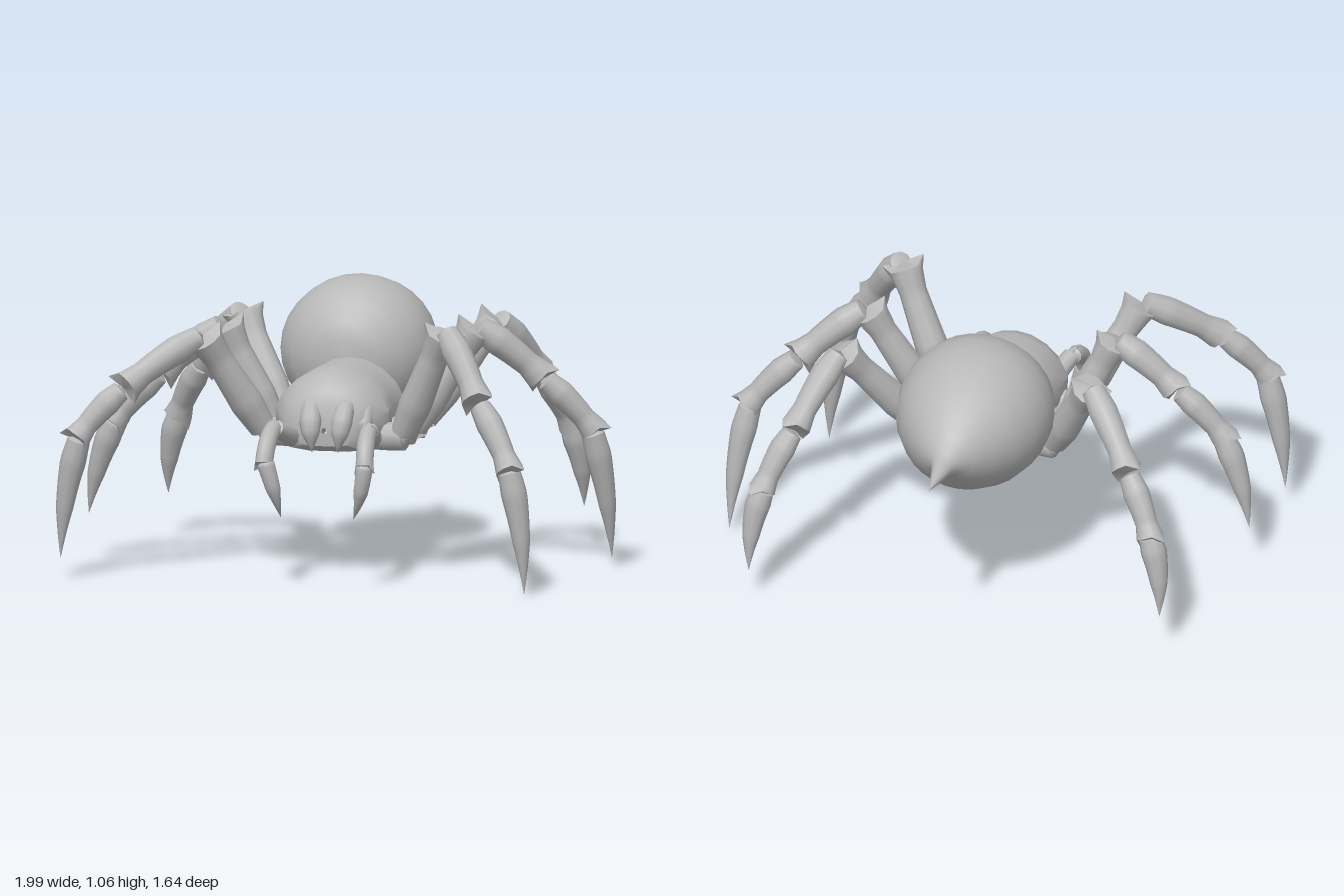
import * as THREE from 'three';
import { toCreasedNormals } from 'three/addons/utils/BufferGeometryUtils.js';

const V = (p) => new THREE.Vector3(...p);

// Tube with a varying radius; profile is a list of [t, radius], jag adds thorny points near the far end
function limb(a, b, profile, bend = [0, 0, 0], jag = false, sides = 10, steps = 20) {
  const mid = V(a).lerp(V(b), 0.5).add(V(bend));
  const curve = new THREE.QuadraticBezierCurve3(V(a), mid, V(b));
  const geo = new THREE.TubeGeometry(curve, steps, 1, sides, false);
  const pos = geo.attributes.position;
  const v = new THREE.Vector3();
  const radiusAt = (t) => {
    let k = 1;
    while (k < profile.length - 1 && profile[k][0] < t) k++;
    const [t0, r0] = profile[k - 1], [t1, r1] = profile[k];
    return r0 + (r1 - r0) * THREE.MathUtils.clamp((t - t0) / (t1 - t0), 0, 1);
  };
  for (let i = 0; i <= steps; i++) {
    const t = i / steps;
    const center = curve.getPointAt(t), dir = curve.getTangentAt(t);
    const r = radiusAt(t);
    for (let j = 0; j <= sides; j++) {
      const n = i * (sides + 1) + j;
      const thorn = jag && i === steps - 1 && j % 5 === 2;
      v.fromBufferAttribute(pos, n).sub(center).multiplyScalar(r * (thorn ? 1.25 : 1)).add(center);
      if (thorn) v.addScaledVector(dir, 0.03);
      pos.setXYZ(n, v.x, v.y, v.z);
    }
  }
  return toCreasedNormals(geo, 0.9);
}

// Closed body lofted through sections [z, half width, bottom, top]
function loftBody(sections) {
  const half = [[0.4, 0], [0.8, 0.04], [0.98, 0.25], [1, 0.5], [0.86, 0.7], [0.62, 0.86], [0.3, 0.97]];
  const ring = [[0, 0], ...half, [0, 1], ...half.map(([x, y]) => [-x, y]).reverse()];
  const n = ring.length, verts = [], index = [];
  sections.forEach(([z, w, b, t]) => ring.forEach(([x, y]) => verts.push(x * w, b + y * (t - b), z)));
  for (let i = 0; i < sections.length - 1; i++) {
    for (let j = 0; j < n; j++) {
      const a = i * n + j, b = i * n + (j + 1) % n;
      index.push(a, b, b + n, a, b + n, a + n);
    }
  }
  const geo = new THREE.BufferGeometry();
  geo.setAttribute('position', new THREE.Float32BufferAttribute(verts, 3));
  geo.setIndex(index);
  return toCreasedNormals(geo, 0.7);
}

export function createModel() {
  const model = new THREE.Group();
  const grey = new THREE.MeshStandardMaterial({ color: 0xb8b8b8 });
  grey.name = 'grey shell';
  const add = (geo, name, parent = model) => {
    const mesh = new THREE.Mesh(geo, grey);
    mesh.name = name;
    parent.add(mesh);
    return mesh;
  };

  // Abdomen with its tail spike, turned around the long axis
  const outline = [[0, 0.82], [0.013, 0.76], [0.027, 0.7], [0.038, 0.65], [0.052, 0.61], [0.1, 0.565], [0.163, 0.5],
    [0.227, 0.415], [0.274, 0.32], [0.296, 0.22], [0.294, 0.13], [0.27, 0.045], [0.215, -0.025], [0.14, -0.07], [0.07, -0.085], [0, -0.09]];
  const abdomenGeo = new THREE.LatheGeometry(outline.map(([r, d]) => new THREE.Vector2(r, -d)), 28);
  abdomenGeo.rotateX(Math.PI / 2).scale(1, 0.945, 1);
  add(abdomenGeo, 'abdomen').position.set(-0.035, 0.78, 0);

  // Head and thorax
  add(loftBody([
    [-0.04, 0.01, 0.5, 0.52], [-0.03, 0.09, 0.49, 0.58], [0.06, 0.19, 0.48, 0.74], [0.09, 0.21, 0.48, 0.785],
    [0.26, 0.205, 0.48, 0.79], [0.4, 0.22, 0.48, 0.785], [0.46, 0.19, 0.48, 0.765], [0.515, 0.155, 0.49, 0.72],
    [0.54, 0.11, 0.51, 0.66], [0.545, 0.01, 0.56, 0.58],
  ]), 'thorax').position.x = -0.01;

  // Fangs, brow bumps and feelers, mirrored
  for (const s of [-1, 1]) {
    const side = s > 0 ? 'left' : 'right';
    const x = (p) => [p[0] * s, p[1], p[2]];
    add(limb(x([0.07, 0.68, 0.47]), x([0.05, 0.49, 0.57]),
      [[0, 0], [0.15, 0.035], [0.5, 0.042], [0.7, 0.034], [1, 0]], [0, 0.03, 0.07]), side + 'Fang');
    add(limb(x([0.13, 0.67, 0.43]), x([0.13, 0.54, 0.52]),
      [[0, 0], [0.2, 0.035], [0.7, 0.035], [1, 0]], [0, 0, 0.02]), side + 'Brow');
    const feeler = new THREE.Group();
    feeler.name = side + 'Feeler';
    model.add(feeler);
    add(limb(x([0.14, 0.53, 0.45]), x([0.185, 0.595, 0.65]),
      [[0, 0], [0.1, 0.04], [0.9, 0.034], [1, 0]], [0.03, -0.02, 0], true), 'feelerBase', feeler);
    add(limb(x([0.183, 0.59, 0.61]), x([0.195, 0.46, 0.76]),
      [[0, 0], [0.1, 0.032], [0.6, 0.034], [0.95, 0.034], [1, 0]], [0, 0.06, 0.04], true), 'feelerMiddle', feeler);
    add(limb(x([0.195, 0.49, 0.755]), x([0.14, 0.26, 0.71]),
      [[0, 0], [0.08, 0.034], [0.5, 0.028], [1, 0]], [0.02, -0.02, 0.04]), 'feelerClaw', feeler);
  }

  // Six legs: base, knee, shin end, ankle, tip
  const legs = {
    leftFrontLeg: [[0.26, 0.53, 0.41], [0.45, 0.965, 0.51], [0.61, 0.71, 0.65], [0.76, 0.46, 0.755], [0.81, 0.0, 0.75]],
    leftMiddleLeg: [[0.26, 0.53, 0.25], [0.5, 0.935, 0.19], [0.74, 0.73, 0.1], [0.93, 0.52, 0.04], [0.97, 0.03, -0.055]],
    leftBackLeg: [[0.26, 0.54, 0.07], [0.51, 0.92, -0.13], [0.63, 0.68, -0.35], [0.725, 0.46, -0.475], [0.755, 0.15, -0.535]],
    rightFrontLeg: [[-0.27, 0.53, 0.38], [-0.48, 0.92, 0.54], [-0.75, 0.73, 0.7], [-0.92, 0.54, 0.77], [-0.985, 0.08, 0.74]],
    rightMiddleLeg: [[-0.27, 0.53, 0.22], [-0.46, 0.92, 0.25], [-0.7, 0.73, 0.26], [-0.89, 0.53, 0.28], [-0.985, 0.18, 0.25]],
    rightBackLeg: [[-0.27, 0.54, 0.05], [-0.47, 0.92, -0.12], [-0.67, 0.68, -0.31], [-0.79, 0.46, -0.41], [-0.835, 0.16, -0.455]],
  };
  const parts = ['thigh', 'shin', 'ankle'];
  const thick = [0.063, 0.057, 0.051];
  for (const [name, p] of Object.entries(legs)) {
    const leg = new THREE.Group();
    leg.name = name;
    model.add(leg);
    const s = Math.sign(p[0][0]);
    // Hip joint at the body
    add(limb([s * 0.1, 0.54, p[0][2] * 0.8 + 0.05], [p[0][0] + s * 0.04, 0.54, p[0][2]],
      [[0, 0], [0.1, 0.055], [0.85, 0.054], [1, 0]], [0, -0.01, 0], true), 'hip', leg);
    // Segments narrow at the root and flare into a thorny collar
    parts.forEach((part, i) => {
      const r = thick[i];
      add(limb(p[i], p[i + 1],
        [[0, 0], [0.05, r * 0.8], [0.3, r], [0.75, r * 0.84], [0.95, r * 1.05], [1, 0]], [s * 0.01, 0.015, 0], true), part, leg);
    });
    // Curved claw
    add(limb(p[3].map((c, k) => c + (p[2][k] - c) * 0.1), p[4],
      [[0, 0], [0.05, 0.044], [0.22, 0.05], [0.6, 0.033], [1, 0]], [s * 0.03, 0.02, 0]), 'claw', leg);
  }
  return model;
}
